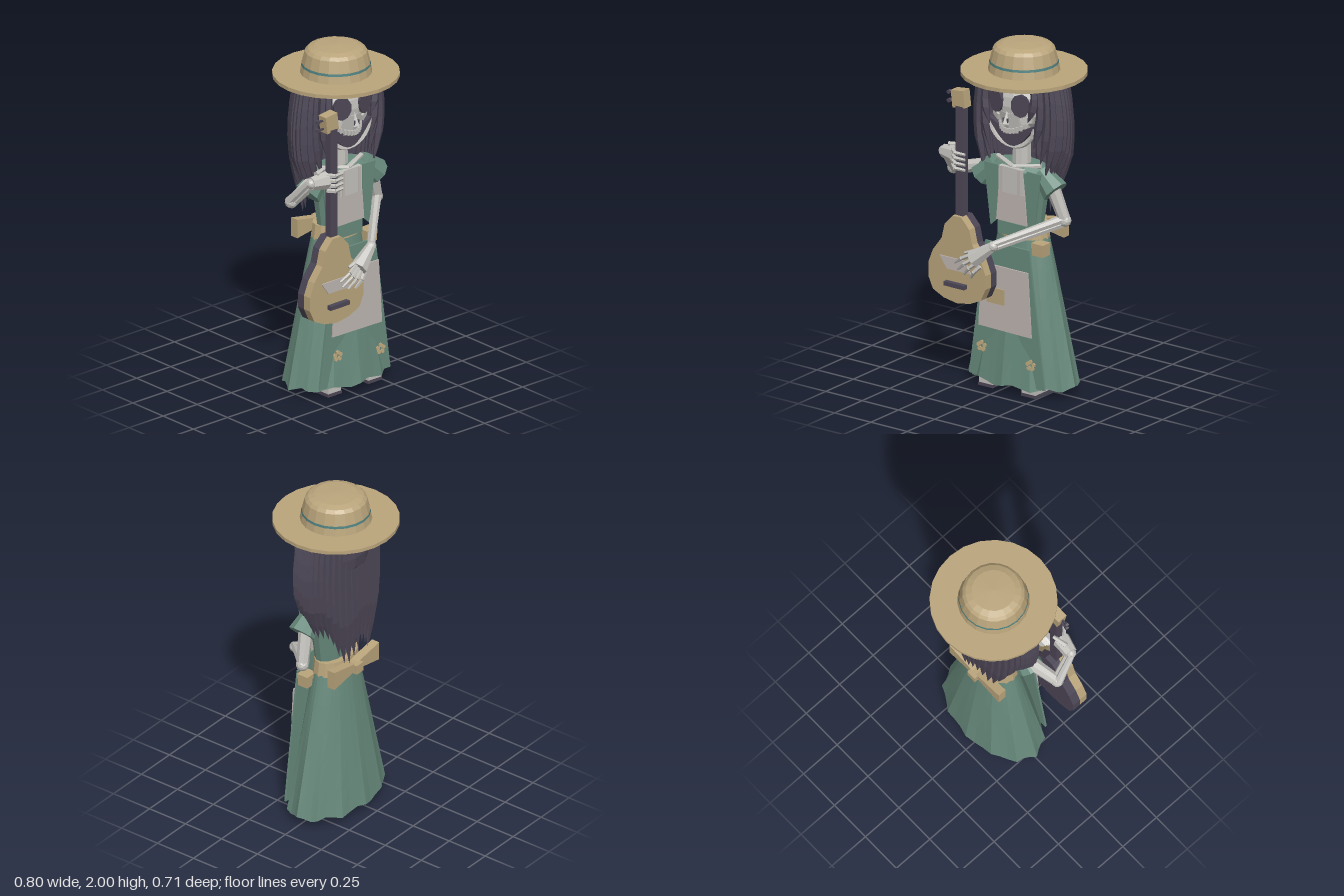
import * as THREE from 'three';

const paint = (name, color, double) => {
  const m = new THREE.MeshStandardMaterial({ color, flatShading: true });
  m.name = name;
  if (double) m.side = THREE.DoubleSide;
  return m;
};
const straw = paint('straw', 0xb9a47b);
const green = paint('green cloth', 0x67897b, true);
const dark = paint('dark plum', 0x4c4655);
const bone = paint('bone', 0xc2c0bb);
const linen = paint('linen', 0xbdb5b1);
const teal = paint('teal ribbon', 0x4f8080);
const CX = 0.047; // body axis
const V = (x, y, z) => new THREE.Vector3(x, y, z);

function add(parent, name, geo, mat, x = 0, y = 0, z = 0, rx = 0, ry = 0, rz = 0) {
  const m = new THREE.Mesh(geo, mat);
  m.name = name;
  m.position.set(x, y, z);
  m.rotation.set(rx, ry, rz);
  parent.add(m);
  return m;
}
const box = (w, h, d) => new THREE.BoxGeometry(w, h, d);
const lathe = (pts, n) => new THREE.LatheGeometry(pts.map(p => new THREE.Vector2(...p)), n);

// Tapered rod between two points
function rod(parent, name, a, b, r1, r2, mat = bone, sides = 7) {
  const m = add(parent, name, new THREE.CylinderGeometry(r2, r1, a.distanceTo(b), sides), mat);
  m.position.copy(a).lerp(b, 0.5);
  m.quaternion.setFromUnitVectors(V(0, 1, 0), b.clone().sub(a).normalize());
  return m;
}
// Extruded outline in the xy plane
function plate(parent, name, pts, depth, mat, x, y, z) {
  const s = new THREE.Shape(pts.map(p => new THREE.Vector2(...p)));
  return add(parent, name, new THREE.ExtrudeGeometry(s, { depth, bevelEnabled: false }), mat, x, y, z);
}
function group(parent, name) {
  const g = new THREE.Group();
  g.name = name;
  parent.add(g);
  return g;
}

function buildHat(root) {
  const g = group(root, 'hat');
  g.position.x = CX;
  add(g, 'brim', new THREE.CylinderGeometry(0.352, 0.352, 0.022, 24), straw, 0, 1.829, 0);
  add(g, 'crown', lathe([[0.2, 1.838], [0.188, 1.9], [0.172, 1.965], [0.155, 1.982], [0.12, 1.994], [0, 2]], 20), straw);
  add(g, 'hatBand', new THREE.CylinderGeometry(0.1905, 0.193, 0.014, 20, 1, true), teal, 0, 1.89, 0);
}

// One flattened tapering lock that bulges outward and then closes in
function lock(parent, x0, z0, top, end, r, i) {
  const geo = new THREE.CylinderGeometry(r, r, 1, 5, 6);
  const p = geo.attributes.position;
  for (let k = 0; k < p.count; k++) {
    const t = 0.5 - p.getY(k);
    const w = t < 0.7 ? 0.75 + 0.4 * t : 1.03 * (1 - t) / 0.3;
    const s = 1 + 0.13 * Math.sin(Math.PI * t) - 0.16 * t * t;
    p.setXYZ(k, CX + x0 * s + p.getX(k) * w, top + (end - top) * t, z0 * (1 + 0.12 * t) + p.getZ(k) * w * 0.8);
  }
  add(parent, 'lock' + i, geo, dark);
}

function buildHair(root) {
  const g = group(root, 'hair');
  const cap = new THREE.SphereGeometry(1, 16, 10, 0, Math.PI * 2, 0, Math.PI * 0.42);
  add(g, 'hairCap', cap.scale(0.2, 0.13, 0.165), dark, CX, 1.73, -0.005);
  add(g, 'backOfHair', new THREE.SphereGeometry(1, 14, 10).scale(0.2, 0.2, 0.13), dark, CX, 1.66, -0.045);
  const n = 25;
  for (let i = 0; i < n; i++) {
    const a = (i / (n - 1) - 0.5) * Math.PI * 1.2;
    const jitter = 0.05 * Math.sin(i * 5.3);
    const end = 1.02 + 0.23 * Math.sin(a) ** 4 + jitter;
    lock(g, 0.265 * Math.sin(a), -0.138 * Math.cos(a), 1.81 - 0.03 * Math.abs(Math.sin(a * 3)), end, 0.038, i);
  }
  // Locks framing the face
  for (const s of [-1, 1]) {
    [[0.235, 0.07, 1.22], [0.2, 0.07, 1.3], [0.175, 0.1, 1.4], [0.155, 0.125, 1.56]].forEach(([x, z, e], i) =>
      lock(g, s * x, z, 1.81, e + 0.03 * s, 0.028, 'Front' + i + (s > 0 ? 'L' : 'R')));
  }
}

function buildHead(root) {
  const g = group(root, 'skull');
  add(g, 'cranium', new THREE.SphereGeometry(1, 14, 10).scale(0.152, 0.17, 0.14), bone, CX, 1.66, 0.015);
  add(g, 'upperJaw', new THREE.CylinderGeometry(0.115, 0.085, 0.12, 10).scale(1, 1, 0.8), bone, CX, 1.565, 0.065);
  const nose = add(g, 'nose', new THREE.ConeGeometry(0.022, 0.08, 4), bone, CX, 1.605, 0.163);
  nose.rotation.x = -0.2;
  for (const s of [-1, 1]) {
    add(g, 'eyeSocket', new THREE.CylinderGeometry(0.056, 0.05, 0.03, 10).scale(1, 1, 1.2), dark, CX + s * 0.08, 1.68, 0.135, Math.PI / 2, 0, s * -0.25);
    add(g, 'nostril', box(0.008, 0.03, 0.006), dark, CX + s * 0.014, 1.585, 0.17);
    add(g, 'cheekbone', box(0.06, 0.035, 0.04), bone, CX + s * 0.095, 1.59, 0.105, 0, s * 0.5, s * 0.3);
  }
  // Open grin with teeth and a thin lower jaw
  const grin = [];
  for (let i = 0; i <= 12; i++) grin.push([-0.15 + 0.025 * i, 1.55 - 0.125 * Math.sin(Math.PI * i / 12)]);
  for (let i = 12; i >= 0; i--) grin.push([-0.15 + 0.025 * i, 1.565 - 0.05 * Math.sin(Math.PI * i / 12)]);
  plate(g, 'mouth', grin, 0.03, dark, CX, 0, 0.09);
  add(g, 'lowerJaw', new THREE.TorusGeometry(0.15, 0.012, 5, 14, Math.PI).scale(1, 0.9, 1), bone, CX, 1.555, 0.11, 0, 0, Math.PI);
  for (let i = -5; i <= 5; i++) {
    add(g, 'tooth', box(0.014, 0.028, 0.012), bone, CX + i * 0.018, 1.522 + 0.0011 * i * i, 0.155 - 0.0022 * i * i);
  }
  rod(g, 'neck', V(CX, 1.27, 0.02), V(CX, 1.48, 0.02), 0.055, 0.05, bone, 10);
}

function buildDress(root) {
  const g = group(root, 'dress');
  // Pleated skirt with a ragged hem
  const skirt = new THREE.CylinderGeometry(1, 1, 1, 36, 5);
  const p = skirt.attributes.position;
  for (let i = 0; i < p.count; i++) {
    const t = 0.5 - p.getY(i);
    const x = p.getX(i), z = p.getZ(i), a = Math.atan2(z, x);
    const ripple = 1 + 0.035 * t * Math.cos(a * 12);
    p.setXYZ(i, CX + x * (0.16 + 0.18 * t ** 0.95) * ripple, 0.89 - 0.84 * t + 0.012 * t * Math.cos(a * 9), z * (0.1 + 0.102 * t) * ripple);
  }
  add(g, 'skirt', skirt, green);
  plate(g, 'frontPanel', [[-0.26, 0.06], [0.26, 0.06], [0.15, 0.855], [-0.15, 0.855]], 0.012, green, CX, 0, 0.146);
  plate(g, 'apron', [[-0.182, 0.36], [0.182, 0.355], [0.158, 0.73], [-0.158, 0.73]], 0.008, linen, CX, 0, 0.169);
  add(g, 'apronPocket', box(0.12, 0.09, 0.008), straw, -0.013, 0.555, 0.181);
  for (const [x, y, z] of [[-0.105, 0.245, 0.186], [0.222, 0.195, 0.172]]) {
    for (let k = 0; k < 5; k++) {
      const a = k * Math.PI * 0.4 + 0.3;
      add(g, 'petal', new THREE.CylinderGeometry(0.013, 0.013, 0.008, 6), straw, x + 0.021 * Math.cos(a), y + 0.021 * Math.sin(a), z, Math.PI / 2 - 0.12);
    }
  }
  // Bodice, bib and cap sleeves
  const bodice = lathe([[0.15, 0.86], [0.14, 0.97], [0.165, 1.13], [0.195, 1.28], [0.15, 1.305], [0, 1.31]], 14).scale(1, 1, 0.55);
  add(g, 'bodice', bodice, green, CX, 0, 0.015);
  plate(g, 'bib', [[-0.105, 0.975], [0.105, 0.975], [0.09, 1.15], [-0.09, 1.15]], 0.008, linen, CX, 0, 0.108);
  add(g, 'chest', box(0.16, 0.15, 0.03), bone, CX, 1.222, 0.11);
  for (const s of [-1, 1]) {
    plate(g, 'vestFront', [[0.095 * s, 0.98], [0.15 * s, 0.93], [0.195 * s, 1.29], [0.1 * s, 1.29]], 0.008, green, CX, 0, 0.1);
    add(g, 'strap', box(0.016, 0.15, 0.006), linen, CX + s * 0.06, 1.222, 0.129);
    rod(g, 'collarbone', V(CX, 1.295, 0.1), V(CX + s * 0.15, 1.315, 0.04), 0.016, 0.014);
    rod(g, 'sleeve', V(CX + s * 0.15, 1.285, 0.045), V(CX + s * 0.25, 1.19, 0.045), 0.05, 0.078, green, 9);
  }
  // Sash with bow and pouch
  add(g, 'sash', new THREE.CylinderGeometry(0.151, 0.163, 0.085, 16, 1).scale(1, 1, 0.64), straw, CX, 0.925, 0);
  add(g, 'frontPlacket', box(0.2, 0.075, 0.01), green, CX, 0.932, 0.103);
  for (const s of [-1, 1]) {
    plate(g, 'bowLoop', [[0, 0.905], [0.2 * s, 0.87], [0.2 * s, 0.98], [0, 0.945]], 0.05, paintBow, CX, 0, -0.145);
  }
  add(g, 'bowKnot', box(0.06, 0.055, 0.075), straw, CX, 0.92, -0.13);
  add(g, 'pouch', box(0.075, 0.07, 0.065), straw, 0.217, 0.845, 0.072);
  add(g, 'pouchFlap', box(0.08, 0.028, 0.072), straw, 0.217, 0.868, 0.072);
}
const paintBow = straw;

function buildArms(root) {
  const l = group(root, 'leftArm');
  const r = group(root, 'rightArm');
  const arm = (g, shoulder, elbow, wrist, off) => {
    rod(g, 'upperArm', shoulder, elbow, 0.042, 0.034, bone, 8);
    add(g, 'elbow', new THREE.IcosahedronGeometry(0.037, 1), bone).position.copy(elbow);
    for (const s of [-1, 1]) {
      const d = off.clone().multiplyScalar(s);
      rod(g, 'forearmBone', elbow.clone().add(d), wrist.clone().add(d), 0.026, 0.018);
    }
    add(g, 'wrist', new THREE.IcosahedronGeometry(0.03, 1), bone).position.copy(wrist);
  };
  arm(l, V(0.26, 1.24, 0.04), V(0.335, 1.02, 0.01), V(0.05, 0.885, 0.285), V(0.006, 0.015, 0));
  rod(l, 'palm', V(0.05, 0.885, 0.285), V(-0.065, 0.795, 0.312), 0.028, 0.05);
  [[-0.195, 0.745], [-0.178, 0.71], [-0.135, 0.69], [-0.085, 0.68]].forEach(([x, y], i) => {
    const a = V(-0.08 + i * 0.02, 0.82 - i * 0.02, 0.312), k = V((x + a.x) / 2, (y + a.y) / 2 + 0.005, 0.325);
    rod(l, 'finger', a, k, 0.013, 0.012, bone, 5);
    rod(l, 'fingertip', k, V(x, y, 0.308), 0.012, 0.007, bone, 5);
  });
  rod(l, 'thumb', V(-0.01, 0.86, 0.305), V(-0.13, 0.815, 0.305), 0.016, 0.009, bone, 5);

  arm(r, V(-0.16, 1.25, 0.04), V(-0.365, 1.205, 0.095), V(-0.335, 1.345, 0.225), V(0.013, -0.005, 0.005));
  rod(r, 'palm', V(-0.335, 1.345, 0.225), V(-0.24, 1.345, 0.24), 0.038, 0.052);
  for (let i = 0; i < 4; i++) {
    const y = 1.285 + i * 0.03;
    rod(r, 'fingerBase', V(-0.25, y + 0.005, 0.255), V(-0.215, y, 0.285), 0.013, 0.012, bone, 5);
    rod(r, 'fingertip', V(-0.215, y, 0.285), V(-0.15, y - 0.002, 0.277), 0.012, 0.009, bone, 5);
  }
  rod(r, 'thumb', V(-0.3, 1.39, 0.225), V(-0.215, 1.4, 0.205), 0.017, 0.011, bone, 5);
}

function buildGuitar(root) {
  const g = group(root, 'guitar');
  g.position.x = -0.2;
  const half = [[0.09, 0.515], [0.165, 0.55], [0.197, 0.62], [0.197, 0.7], [0.165, 0.78], [0.105, 0.86], [0.085, 0.945], [0.03, 1.005]];
  const outline = [[0, 0.5], ...half, ...half.map(([x, y]) => [-x, y]).reverse()];
  plate(g, 'guitarFront', outline, 0.05, straw, 0, 0, 0.235);
  plate(g, 'guitarBack', outline, 0.05, dark, 0, 0, 0.185);
  add(g, 'guitarNeck', box(0.05, 0.68, 0.045), dark, 0, 1.3, 0.24);
  add(g, 'headstock', box(0.085, 0.1, 0.06), straw, -0.012, 1.68, 0.232, 0, 0, 0.12);
  for (const y of [1.65, 1.7]) {
    add(g, 'pegShaft', box(0.05, 0.01, 0.01), dark, -0.07, y, 0.232);
    add(g, 'peg', new THREE.CylinderGeometry(0.013, 0.013, 0.018, 6), dark, -0.092, y, 0.232, Math.PI / 2);
  }
  add(g, 'bridge', box(0.14, 0.024, 0.032), dark, 0, 0.61, 0.298);
  plate(g, 'pickguard', [[-0.065, 0.69], [0.1, 0.69], [0.06, 0.76], [-0.115, 0.76]], 0.006, linen, 0, 0, 0.285);
}

export function createModel() {
  const root = new THREE.Group();
  root.name = 'skeletonMusician';
  buildHat(root);
  buildHair(root);
  buildHead(root);
  buildDress(root);
  buildArms(root);
  buildGuitar(root);
  // Shoes
  for (const s of [-1, 1]) {
    add(root, 'shoe', box(0.095, 0.045, 0.17), bone, CX + s * 0.147, 0.04, 0.07);
    add(root, 'shoeSole', box(0.1, 0.018, 0.175), dark, CX + s * 0.147, 0.009, 0.07);
    rod(root, 'leg', V(CX + s * 0.147, 0.05, 0.02), V(CX + s * 0.08, 0.5, 0.02), 0.03, 0.03);
  }
  return root;
}
